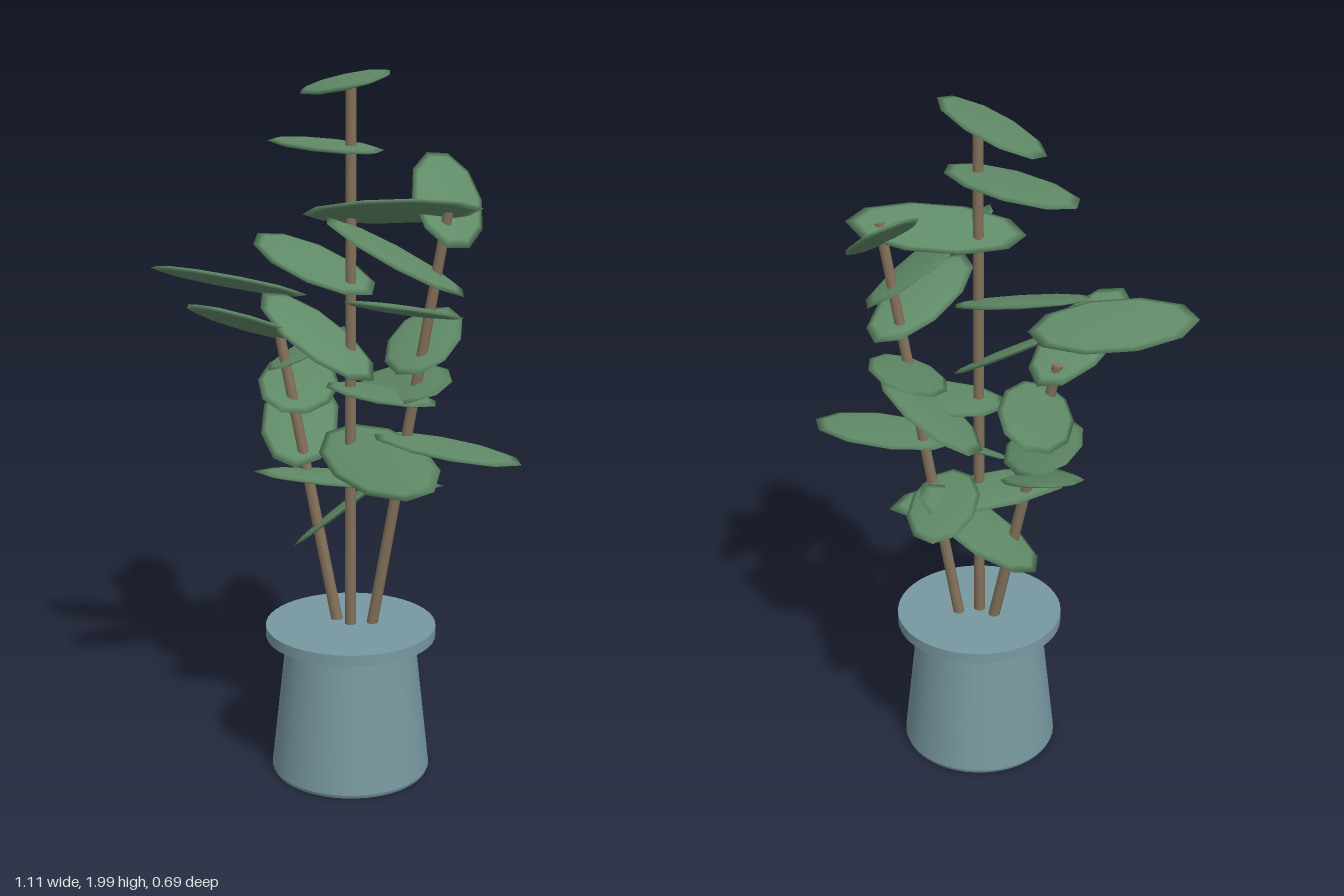
import * as THREE from 'three';

const potBlue = new THREE.MeshStandardMaterial({ color: 0x7898a0, name: 'potBlue' });
const leafGreen = new THREE.MeshStandardMaterial({ color: 0x608a67, name: 'leafGreen' });
const stemBrown = new THREE.MeshStandardMaterial({ color: 0x83715a, name: 'stemBrown' });

// Each leaf: centre x y z, plan direction x z, half length, half width, slope along x, slope along z
const CENTRE_LEAVES = [
  [-0.02, 1.957, -0.063, 0.68, 0.74, 0.24, 0.11, 0.25, -0.14],
  [-0.06, 1.79, -0.02, 0.87, 0.48, 0.24, 0.10, 0, 0],
  [0.165, 1.63, 0.03, 0.97, -0.25, 0.245, 0.08, 0.19, 0.5],
  [-0.09, 1.465, -0.01, 0.95, 0.3, 0.22, 0.10, -0.215, -0.226],
  [-0.04, 1.28, 0.07, 0.99, 0.1, 0.18, 0.10, -0.55, -0.25],
  [0.155, 1.135, -0.075, 0.7, 0.71, 0.25, 0.11, 0.35, -0.2],
  [0.16, 0.955, 0.10, 0.88, 0.46, 0.24, 0.10, 0.15, -0.54],
  [0.10, 0.868, -0.12, 0.2, 0.98, 0.22, 0.10, -0.06, 0],
  [0.01, 0.78, -0.07, 0.78, -0.62, 0.18, 0.12, 0.85, -0.1],
];
const LEFT_LEAVES = [
  [0.26, 1.65, -0.125, 0.38, 0.92, 0.21, 0.10, -0.59, -0.27],
  [0.21, 1.52, 0.10, 0.57, -0.82, 0.21, 0.115, -0.6, 0.19],
  [0.245, 1.385, 0.12, 0.25, -0.97, 0.225, 0.10, 0, 0.26],
  [0.20, 1.255, -0.115, 0.35, 0.94, 0.22, 0.11, 0.23, -0.31],
  [0.135, 1.125, 0.03, 0.98, 0.15, 0.175, 0.10, -0.06, 0.06],
  [0.33, 0.993, 0.03, 0.99, 0.12, 0.23, 0.10, -0.05, 0.03],
];
const RIGHT_LEAVES = [
  [-0.33, 1.405, 0.045, 0.98, -0.2, 0.23, 0.10, -0.045, 0.4],
  [-0.215, 1.315, 0.15, 0.36, -0.93, 0.20, 0.10, 0, 0.43],
  [-0.17, 1.193, -0.13, 0.15, 0.99, 0.22, 0.10, 0.4, -0.1],
  [-0.185, 1.095, -0.105, 0.25, 0.97, 0.23, 0.11, -0.3, -0.06],
  [-0.18, 0.985, -0.10, 0.4, 0.92, 0.20, 0.115, -0.18, -0.4],
  [0.025, 0.86, 0.0, 0.87, -0.49, 0.27, 0.10, -0.06, 0.1],
];

const leafGeometry = new THREE.SphereGeometry(1, 10, 6);

// Flattened lens lying in the plane given by its two slopes
function makeLeaf([x, y, z, dx, dz, length, width, a, b]) {
  const k = 1 / Math.hypot(dx, dz);
  const c = dx * k, s = dz * k;
  const along = new THREE.Vector3(c, a * c + b * s, s).multiplyScalar(length);
  const across = new THREE.Vector3(-s, -a * s + b * c, c).multiplyScalar(width);
  const up = new THREE.Vector3(-a, 1, -b).normalize().multiplyScalar(0.012);
  const matrix = new THREE.Matrix4().makeBasis(along, up, across).setPosition(x, y, z);
  const leaf = new THREE.Mesh(leafGeometry.clone().applyMatrix4(matrix), leafGreen);
  leaf.name = 'leaf';
  return leaf;
}

// Straight stem between two points
function makeStem(from, to) {
  const start = new THREE.Vector3(...from), end = new THREE.Vector3(...to);
  const stem = new THREE.Mesh(
    new THREE.CylinderGeometry(0.015, 0.017, start.distanceTo(end), 8), stemBrown);
  stem.position.copy(start).lerp(end, 0.5);
  stem.quaternion.setFromUnitVectors(
    new THREE.Vector3(0, 1, 0), end.clone().sub(start).normalize());
  stem.name = 'stem';
  return stem;
}

function makeBranch(name, from, to, leaves) {
  const branch = new THREE.Group();
  branch.name = name;
  branch.add(makeStem(from, to), ...leaves.map(makeLeaf));
  return branch;
}

// Tapered pot with a closed, overhanging rim
function makePot() {
  const pot = new THREE.Group();
  pot.name = 'pot';
  const layers = [
    ['potFoot', 0.228, 0.224, 0, 0.01],
    ['potBody', 0.184, 0.228, 0.01, 0.41],
    ['potRim', 0.243, 0.243, 0.408, 0.44],
  ];
  for (const [name, top, bottom, y0, y1] of layers) {
    const mesh = new THREE.Mesh(new THREE.CylinderGeometry(top, bottom, y1 - y0, 48), potBlue);
    mesh.position.y = (y0 + y1) / 2;
    mesh.name = name;
    pot.add(mesh);
  }
  pot.position.set(0.047, 0, 0.035);
  return pot;
}

export function createModel() {
  const model = new THREE.Group();
  model.name = 'pottedPlant';
  model.add(
    makePot(),
    makeBranch('centreBranch', [0.047, 0.42, 0.037], [0.047, 1.96, 0.037], CENTRE_LEAVES),
    makeBranch('leftBranch', [0.097, 0.42, 0.003], [0.31, 1.645, -0.015], LEFT_LEAVES),
    makeBranch('rightBranch', [0.0, 0.42, 0.02], [-0.185, 1.28, 0.02], RIGHT_LEAVES),
  );
  return model;
}
